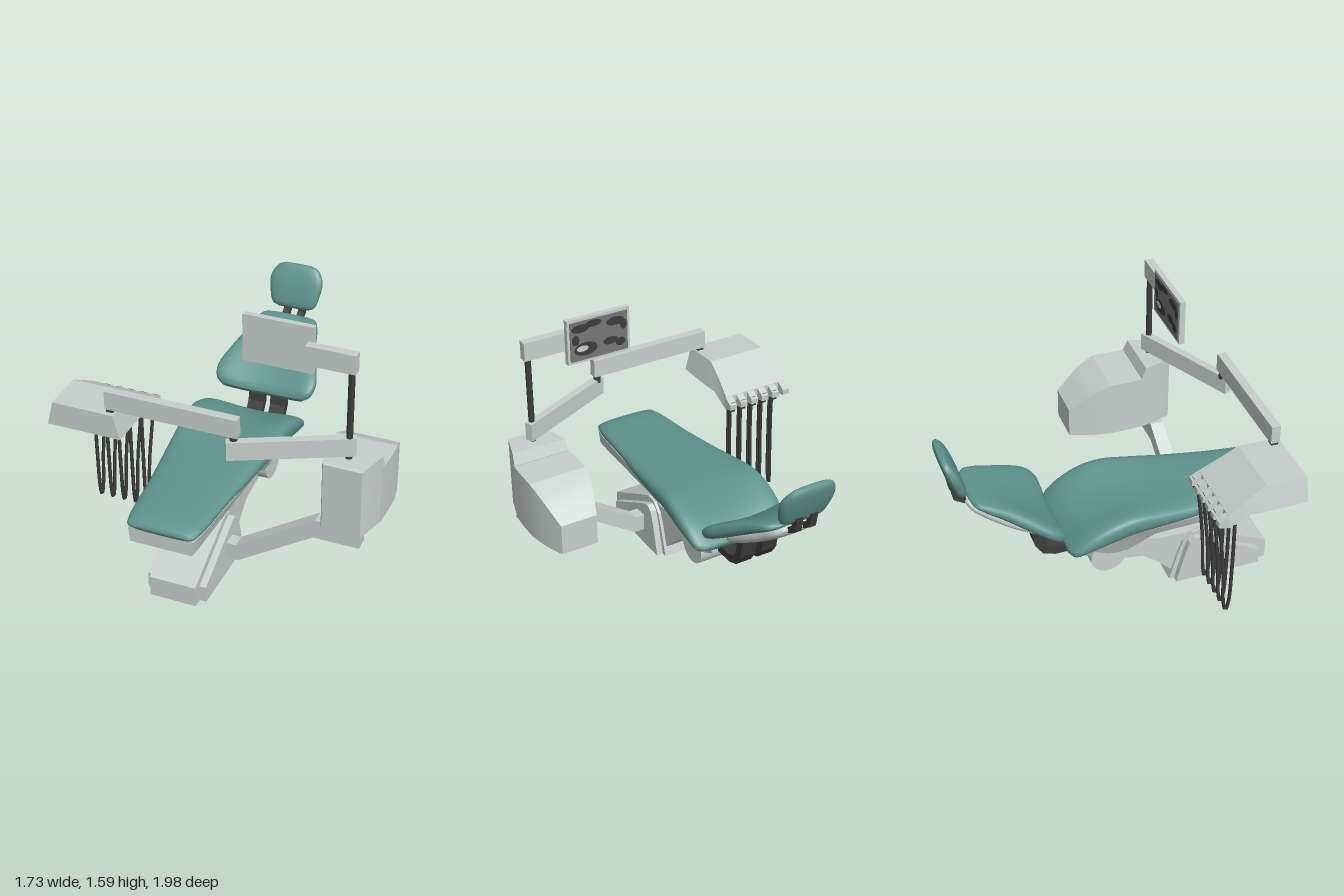
import * as THREE from 'three';
import { toCreasedNormals } from 'three/addons/utils/BufferGeometryUtils.js';

const mat = (name, color) => {
  const m = new THREE.MeshStandardMaterial({ color });
  m.name = name;
  return m;
};

export function createModel() {
  const root = new THREE.Group();
  root.name = 'dentalChair';
  const shell = mat('paleGreyShell', 0xc6cfcc);
  const teal = mat('tealUpholstery', 0x5f938d);
  const dark = mat('darkMetal', 0x3c3c3d);
  const grey = mat('screenGrey', 0x767676);
  const CX = -0.135; // centre line of the chair

  const add = (name, geo, material, x = 0, y = 0, z = 0) => {
    const m = new THREE.Mesh(geo, material);
    m.name = name;
    m.position.set(x, y, z);
    root.add(m);
    return m;
  };
  const box = (name, material, x0, x1, y0, y1, z0, z1) =>
    add(name, new THREE.BoxGeometry(x1 - x0, y1 - y0, z1 - z0), material,
      (x0 + x1) / 2, (y0 + y1) / 2, (z0 + z1) / 2);

  // Skin closed rings (counter-clockwise seen from +z, ordered towards -z) and cap both ends
  const skin = (rings, crease) => {
    const n = rings[0].length, pos = rings.flat(2), idx = [];
    for (let i = 0; i < rings.length - 1; i++) {
      for (let j = 0; j < n; j++) {
        const a = i * n + j, b = i * n + (j + 1) % n;
        idx.push(a, a + n, b, b, a + n, b + n);
      }
    }
    [0, rings.length - 1].forEach((r, end) => {
      const c = pos.length / 3;
      pos.push(...[0, 1, 2].map(k => rings[r].reduce((s, p) => s + p[k], 0) / n));
      for (let j = 0; j < n; j++) {
        const a = r * n + j, b = r * n + (j + 1) % n;
        idx.push(c, end ? b : a, end ? a : b);
      }
    });
    const g = new THREE.BufferGeometry();
    g.setAttribute('position', new THREE.Float32BufferAttribute(pos, 3));
    g.setIndex(idx);
    return toCreasedNormals(g, crease);
  };

  // Padded form: stations [distance, halfWidth, top, bottom, dish], raised at the sides by dish
  const pad = (stations) => {
    const curve = new THREE.CatmullRomCurve3(stations.map(s => new THREE.Vector3(s[0], s[1], s[2])));
    const low = new THREE.CatmullRomCurve3(stations.map(s => new THREE.Vector3(s[0], s[3], s[4])));
    const pw = (v, e) => Math.sign(v) * Math.abs(v) ** e;
    const rings = [], steps = (stations.length - 1) * 4, n = 36;
    for (let i = 0; i <= steps; i++) {
      const p = curve.getPoint(i / steps), q = low.getPoint(i / steps);
      const ring = [];
      for (let j = 0; j < n; j++) {
        const a = j / n * Math.PI * 2, c = pw(Math.cos(a), 0.65), s = pw(Math.sin(a), 0.75);
        ring.push([p.y * c, (p.z + q.y) / 2 + (p.z - q.y) / 2 * s + q.z * c * c * (s + 1) / 2, -p.x]);
      }
      rings.push(ring);
    }
    return skin(rings, 1.1);
  };

  // Hard-edged hull: stations [z, halfTop, halfBottom, top, bottom]
  const hull = (stations) => skin(stations.map(([z, ht, hb, t, b]) =>
    [[hb, b, z], [ht, t, z], [-ht, t, z], [-hb, b, z]]), 0.35);

  // Side profile [z, y] extruded across x
  const slab = (points, width) => {
    const g = new THREE.ExtrudeGeometry(new THREE.Shape(points.map(p => new THREE.Vector2(...p))),
      { depth: width, bevelEnabled: false });
    return toCreasedNormals(g.translate(0, 0, -width / 2).rotateY(-Math.PI / 2), 0.4);
  };

  // Upholstery
  add('seatCushion', pad([
    [-0.995, 0.165, 0.55, 0.53, 0], [-0.975, 0.19, 0.572, 0.512, 0], [-0.6, 0.235, 0.6, 0.515, 0],
    [-0.35, 0.267, 0.61, 0.505, 0.02], [-0.15, 0.288, 0.615, 0.495, 0.055], [0, 0.3, 0.61, 0.49, 0.085],
    [0.12, 0.307, 0.59, 0.47, 0.085], [0.25, 0.302, 0.55, 0.445, 0.055],
    [0.33, 0.285, 0.5, 0.435, 0.03], [0.358, 0.24, 0.475, 0.45, 0.02],
  ]), teal, CX);
  const tilt = (m, a) => { m.rotation.x = a; return m; };
  tilt(add('backrestCushion', pad([
    [0, 0.25, 0.025, 0, 0.03], [0.03, 0.29, 0.045, -0.01, 0.045], [0.1, 0.305, 0.055, -0.012, 0.055],
    [0.24, 0.265, 0.06, -0.012, 0.05], [0.36, 0.222, 0.06, -0.012, 0.035],
    [0.46, 0.195, 0.05, -0.01, 0.02], [0.52, 0.165, 0.035, -0.005, 0.01], [0.54, 0.11, 0.02, 0.005, 0],
  ]), teal, CX, 0.57, -0.4), 0.567);
  tilt(add('backrestShell', pad([
    [0.02, 0.12, -0.005, -0.03, 0], [0.05, 0.17, 0.01, -0.052, 0], [0.2, 0.18, 0.015, -0.066, 0],
    [0.36, 0.16, 0.015, -0.066, 0], [0.5, 0.13, 0.015, -0.05, 0], [0.54, 0.09, 0, -0.03, 0],
  ]), shell, CX, 0.57, -0.4), 0.567);
  tilt(add('headrest', pad([
    [0, 0.09, 0.01, -0.01, 0], [0.02, 0.13, 0.028, -0.026, 0.005], [0.1, 0.155, 0.035, -0.035, 0.01],
    [0.18, 0.16, 0.033, -0.033, 0.01], [0.245, 0.125, 0.022, -0.024, 0], [0.265, 0.08, 0.008, -0.01, 0],
  ]), teal, CX, 0.9, -0.88), 1.225);

  // Paired dark brackets for the backrest and headrest
  for (const s of [-1, 1]) {
    add('backrestBracket', slab([
      [-0.26, 0.375], [-0.4, 0.375], [-0.47, 0.4], [-0.51, 0.46], [-0.535, 0.6], [-0.48, 0.58],
      [-0.465, 0.475], [-0.44, 0.435], [-0.39, 0.42], [-0.26, 0.425],
    ], 0.095), dark, CX + s * 0.068);
    add('headrestBracket', slab([
      [-0.82, 0.82], [-0.87, 0.825], [-0.925, 0.86], [-0.94, 0.95], [-0.9, 0.95], [-0.895, 0.88],
      [-0.86, 0.855], [-0.82, 0.85],
    ], 0.04), dark, CX + s * 0.045);
  }

  // Seat frame, lifting link and foot
  add('seatFrame', hull([
    [0.98, 0.185, 0.175, 0.52, 0.43], [0.9, 0.2, 0.18, 0.52, 0.43], [0.15, 0.245, 0.2, 0.51, 0.43],
    [0.02, 0.25, 0.18, 0.51, 0.35], [-0.06, 0.245, 0.17, 0.495, 0.315], [-0.12, 0.235, 0.165, 0.48, 0.31],
    [-0.2, 0.21, 0.16, 0.465, 0.33], [-0.285, 0.18, 0.15, 0.445, 0.37],
  ]), shell, CX);
  add('liftingLink', slab([
    [0.46, 0.33], [0.36, 0.305], [0.2, 0.31], [0, 0.37], [-0.12, 0.4], [-0.19, 0.32], [-0.12, 0.24],
    [0, 0.225], [0.12, 0.205], [0.2, 0.14], [0.28, 0.06], [0.46, 0.1],
  ], 0.23), shell, CX);
  const pivot = add('linkPivot', new THREE.CylinderGeometry(0.1, 0.1, 0.36, 32), shell, CX, 0.325, -0.115);
  pivot.rotation.z = Math.PI / 2;
  add('footCentre', slab([
    [0.865, 0], [0.865, 0.12], [0.5, 0.305], [0.46, 0.32], [0.4, 0.31], [0.35, 0.26], [0.32, 0.18], [0.27, 0],
  ], 0.265), shell, CX);
  add('footCover', slab([
    [0.81, 0], [0.81, 0.095], [0.45, 0.285], [0.41, 0.295], [0.375, 0.27], [0.35, 0.2], [0.3, 0],
  ], 0.34), shell, CX);

  // Bent arm carrying the side cabinet
  const arm = new THREE.Shape([[-0.05, 0.1], [0.1, 0.1], [0.53, 0.38], [0.785, 0.38], [0.785, 0.5],
    [0.54, 0.49], [0.09, 0.2], [-0.05, 0.2]].map(p => new THREE.Vector2(...p)));
  add('cabinetArm', new THREE.ExtrudeGeometry(arm, { depth: 0.08, bevelEnabled: false }), shell, 0, 0, 0.455);

  // Side cabinet with its raised front
  add('cabinetBody', hull([
    [0.42, 0.162, 0.162, 0.835, 0.495], [0.3, 0.168, 0.168, 0.835, 0.495], [0.2, 0.168, 0.168, 0.835, 0.495],
    [0.1, 0.15, 0.15, 0.79, 0.495], [0.03, 0.128, 0.128, 0.735, 0.495], [-0.038, 0.106, 0.106, 0.68, 0.5],
  ]), shell, 0.697);
  add('cabinetFront', hull([
    [0.585, 0.105, 0.105, 0.89, 0.5], [0.575, 0.112, 0.112, 0.902, 0.492],
    [0.42, 0.158, 0.158, 0.902, 0.492], [0.395, 0.162, 0.162, 0.84, 0.492],
  ]), shell, 0.697);

  // Monitor on its post
  add('monitorPost', new THREE.CylinderGeometry(0.017, 0.017, 0.53, 20), dark, 0.698, 1.155, 0.495);
  box('monitorArm', shell, 0.46, 0.725, 1.405, 1.512, 0.472, 0.522);
  box('monitorCase', shell, 0.11, 0.487, 1.33, 1.592, 0.44, 0.472);
  box('screen', grey, 0.125, 0.472, 1.345, 1.577, 0.436, 0.44);
  const patch = (name, material, x, y, w, h, z) => {
    const m = add(name, new THREE.CircleGeometry(1, 20), material, x, y, z);
    m.rotation.y = Math.PI;
    m.scale.set(w, h, 1);
  };
  [[0.41, 1.535, 0.055, 0.025], [0.33, 1.55, 0.05, 0.02], [0.2, 1.53, 0.055, 0.025], [0.15, 1.5, 0.02, 0.03],
    [0.44, 1.47, 0.022, 0.03], [0.38, 1.41, 0.07, 0.04], [0.23, 1.42, 0.045, 0.022], [0.17, 1.4, 0.03, 0.025]]
    .forEach(([x, y, w, h]) => patch('screenShade', dark, x, y, w, h, 0.435));
  patch('screenHighlight', shell, 0.4, 1.415, 0.035, 0.018, 0.434);

  // Two-part swing arm to the instrument table
  const swing = add('lowerSwingArm', new THREE.BoxGeometry(0.655, 0.105, 0.045), shell, 0.433, 0.972, 0.617);
  swing.rotation.y = Math.atan2(0.275, 0.57);
  add('swingPivot', new THREE.CylinderGeometry(0.02, 0.02, 0.06, 20), dark, 0.17, 1.035, 0.735);
  box('upperSwingArm', shell, -0.535, 0.197, 1.05, 1.155, 0.71, 0.76);

  // Instrument table with holder teeth and hanging hoses
  const TX = -0.655;
  box('tablePivot', dark, -0.53, -0.49, 1.02, 1.06, 0.715, 0.755);
  add('instrumentTable', hull([
    [0.78, 0.175, 0.21, 1.032, 0.895], [0.55, 0.175, 0.21, 1.042, 0.895],
    [0.46, 0.182, 0.205, 0.987, 0.895], [0.34, 0.2, 0.205, 0.913, 0.837],
  ]), shell, TX);
  for (let i = 0; i < 6; i++) {
    add('holderTooth', hull([
      [0.345, 0.022, 0.022, 0.913, 0.84], [0.288, 0.022, 0.022, 0.882, 0.85],
    ]), shell, TX + (i - 2.5) * 0.0725);
  }
  for (let i = 0; i < 5; i++) {
    const x = TX + (i - 2) * 0.0715;
    const path = new THREE.CatmullRomCurve3([
      [0.035, 0.88, 0.325], [0.033, 0.78, 0.335], [0.015, 0.5, 0.36], [0.004, 0.25, 0.37], [0, 0.196, 0.382],
      [0, 0.25, 0.397], [0, 0.5, 0.405], [0, 0.8, 0.405],
    ].map(p => new THREE.Vector3(...p)));
    add('instrumentHose', new THREE.TubeGeometry(path, 48, 0.01, 8), dark, x);
    box('instrumentHandle', dark, x + 0.02, x + 0.05, 0.83, 0.89, 0.3, 0.35);
  }
  return root;
}
